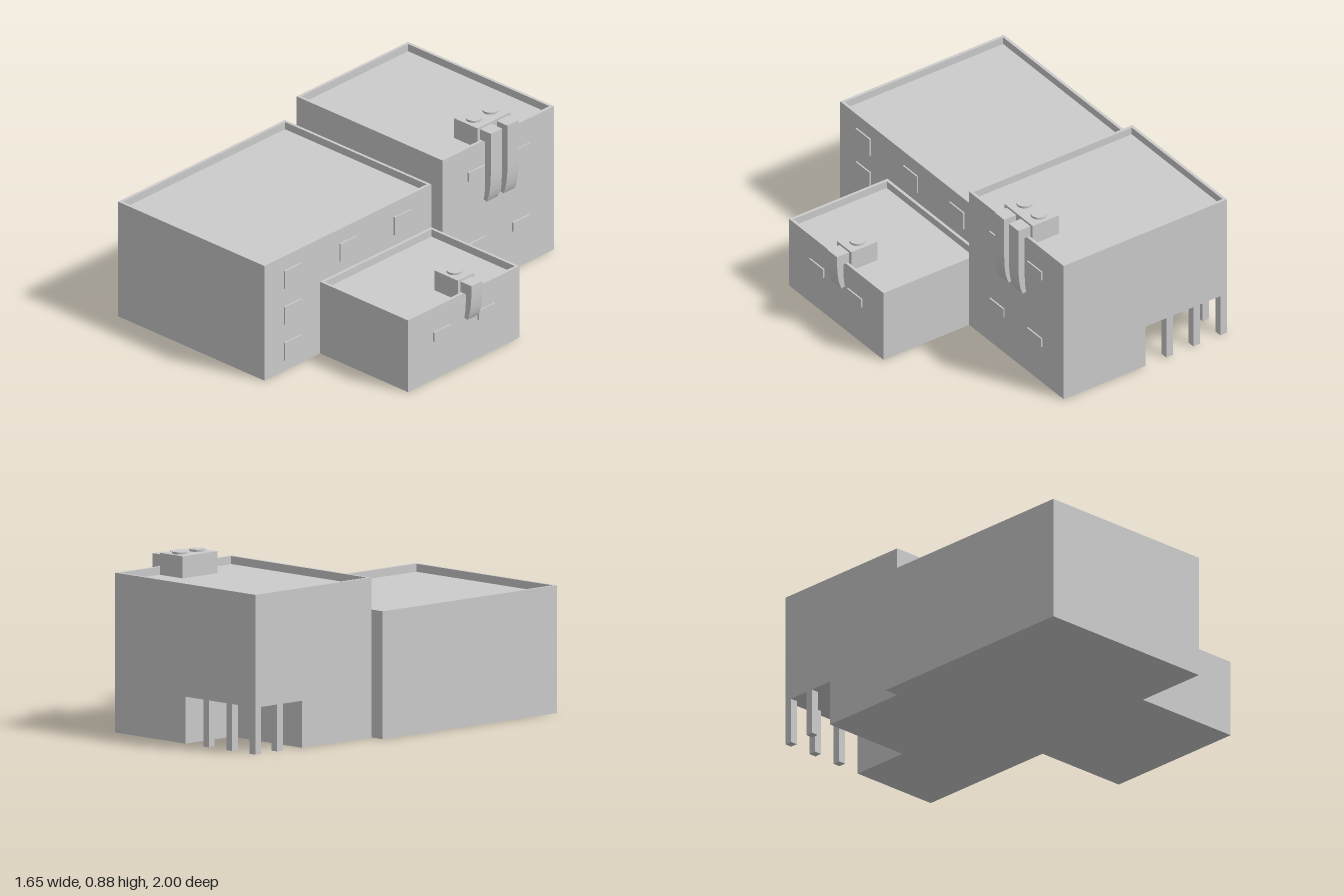
import * as THREE from 'three';

const material = new THREE.MeshStandardMaterial({ color: 0xcccccc, flatShading: true });
const WALL = 0.016, ROOF_DROP = 0.04;

function add(parent, name, geometry, x = 0, y = 0, z = 0) {
  const mesh = new THREE.Mesh(geometry, material);
  mesh.name = name;
  mesh.position.set(x, y, z);
  parent.add(mesh);
  return mesh;
}

// Box given by its limits on each axis
function box(parent, name, [x0, x1], [y0, y1], [z0, z1]) {
  return add(parent, name, new THREE.BoxGeometry(x1 - x0, y1 - y0, z1 - z0),
    (x0 + x1) / 2, (y0 + y1) / 2, (z0 + z1) / 2);
}

// Floor-plan outline of [x, z] points, extruded upwards
const outline = (points) => points.map(([x, z]) => new THREE.Vector2(x, -z));
const rect = ([x0, x1], [z0, z1]) => outline([[x0, z1], [x1, z1], [x1, z0], [x0, z0]]);
function plan(parent, name, points, y0, y1, hole) {
  const shape = new THREE.Shape(points);
  if (hole) shape.holes.push(new THREE.Path(hole));
  const geometry = new THREE.ExtrudeGeometry(shape, { depth: y1 - y0, bevelEnabled: false });
  geometry.rotateX(-Math.PI / 2);
  return add(parent, name, geometry, 0, y0, 0);
}

// Raised rim around a flat roof
function parapet(parent, xs, zs, top) {
  const inset = ([a, b]) => [a + WALL, b - WALL];
  plan(parent, 'parapet', rect(xs, zs), top - ROOF_DROP, top, rect(inset(xs), inset(zs)));
}

// Thin panels on a wall that faces +x
function windows(parent, wallX, height, spots) {
  for (const [y, z] of spots) {
    box(parent, 'window', [wallX - 0.005, wallX + 0.008],
      [y - height / 2, y + height / 2], [z - 0.06, z + 0.06]);
  }
}

// Rooftop fan unit with a duct that bends down over the wall edge
function airUnit(parent, x, top, z, ductZ, length) {
  const unit = new THREE.Group();
  unit.name = 'airUnit';
  parent.add(unit);
  box(unit, 'casing', [x - 0.08, x + 0.08], [top - ROOF_DROP, top + 0.07], [z - 0.06, z + 0.06]);
  add(unit, 'fanCover', new THREE.CylinderGeometry(0.04, 0.04, 0.012, 32), x, top + 0.075, z);

  const duct = new THREE.Shape();
  const bottom = 0.06 - length;
  duct.moveTo(0, 0);
  duct.lineTo(0.035, 0);
  duct.lineTo(0.035, bottom + 0.12);
  duct.quadraticCurveTo(0.034, bottom + 0.04, 0.024, bottom + 0.005);
  duct.lineTo(0.045, bottom);
  duct.quadraticCurveTo(0.072, bottom + 0.05, 0.073, bottom + 0.17);
  duct.lineTo(0.073, 0.058);
  duct.lineTo(0, 0.058);
  const geometry = new THREE.ExtrudeGeometry(duct, { depth: 0.08, bevelEnabled: false, curveSegments: 8 });
  add(unit, 'duct', geometry, x + 0.08, top, ductZ - 0.04);
}

export function createModel() {
  const model = new THREE.Group();
  model.name = 'buildingComplex';
  const wing = (name) => {
    const group = new THREE.Group();
    group.name = name;
    model.add(group);
    return group;
  };

  // Large front hall
  const hall = wing('frontHall');
  const hallX = [-0.825, 0.172], hallZ = [-0.2, 1];
  box(hall, 'walls', hallX, [0, 0.64 - ROOF_DROP], hallZ);
  parapet(hall, hallX, hallZ, 0.64);
  windows(hall, 0.172, 0.1, [[0.11, 0.8], [0.31, 0.8], [0.51, 0.8], [0.51, 0.4], [0.51, 0.01]]);

  // Low side wing
  const side = wing('sideWing');
  const sideX = [0.172, 0.772], sideZ = [-0.2, 0.6];
  box(side, 'walls', sideX, [0, 0.4 - ROOF_DROP], sideZ);
  parapet(side, sideX, sideZ, 0.4);
  windows(side, 0.772, 0.05, [[0.24, 0.04], [0.24, 0.36]]);
  airUnit(side, 0.672, 0.4, 0.16, 0.16, 0.2);

  // Tall rear block, its back corner open at ground level
  const rear = wing('rearBlock');
  const rearX = [-0.745, 0.25], rearZ = [-1, -0.2];
  const porchX = -0.25, porchZ = -0.68, porchTop = 0.235;
  plan(rear, 'groundFloor', outline([[-0.745, -0.2], [0.25, -0.2], [0.25, -1],
    [porchX, -1], [porchX, porchZ], [-0.745, porchZ]]), 0, porchTop);
  box(rear, 'upperWalls', rearX, [porchTop, 0.8 - ROOF_DROP], rearZ);
  parapet(rear, rearX, rearZ, 0.8);
  windows(rear, 0.25, 0.05, [[0.24, -0.76], [0.24, -0.44], [0.64, -0.76], [0.64, -0.44]]);
  airUnit(rear, 0.15, 0.8, -0.65, -0.65, 0.39);
  airUnit(rear, 0.15, 0.8, -0.53, -0.53, 0.39);

  // Porch columns
  for (const [x, z] of [[-0.725, -0.98], [-0.56, -0.98], [-0.395, -0.98], [-0.725, -0.83]]) {
    box(rear, 'porchColumn', [x - 0.02, x + 0.02], [0, porchTop], [z - 0.02, z + 0.02]);
  }

  return model;
}
